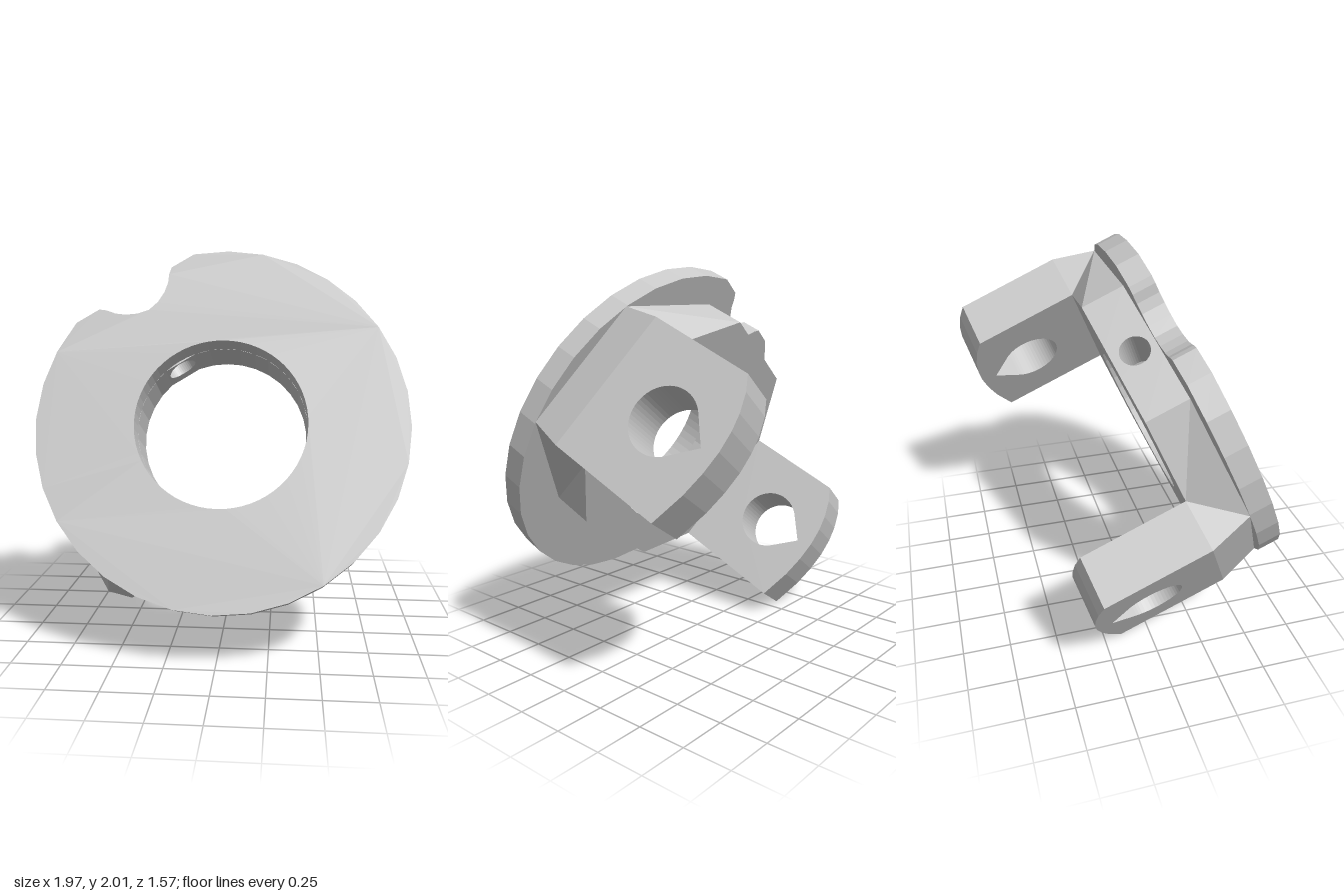
import * as THREE from 'three';

// Local frame: x = axis through both lugs, y = in the disc plane, z = out of the front face.
const BORE = 0.435, DISC_BACK = -0.12, PLATE_BACK = -0.35;
const LUG_IN = 0.665, LUG_OUT = 0.935, LUG_HALF = 0.37, SLOT = 0.09;

const shapeOf = (pts) => new THREE.Shape(pts.map(([x, y]) => new THREE.Vector2(x, y)));
const extrude = (shape, depth, curveSegments = 32) =>
  new THREE.ExtrudeGeometry(shape, { depth, curveSegments, bevelEnabled: false });

// Moves every vertex by a rule and renews the flat normals.
function moveVertices(geo, rule) {
  const p = geo.attributes.position, v = new THREE.Vector3();
  for (let i = 0; i < p.count; i++) {
    rule(v.fromBufferAttribute(p, i));
    p.setXYZ(i, v.x, v.y, v.z);
  }
  geo.computeVertexNormals();
  return geo;
}

// Round flange with a flared notch in its rim
function discGeometry() {
  const pts = [];
  for (let i = 2; i <= 30; i++) {
    const a = Math.PI / 2 + (i * Math.PI) / 16;
    pts.push([0.937 * Math.cos(a), 0.937 * Math.sin(a)]);
  }
  const half = [[0.22, 0.866], [0.19, 0.84], [0.16, 0.8], [0.118, 0.765], [0.06, 0.735]];
  pts.push(...half, [0, 0.722], ...half.map(([x, y]) => [-x, y]).reverse());
  const shape = shapeOf(pts);
  shape.holes.push(new THREE.Path().absarc(0, 0, BORE, 0, Math.PI * 2, true));
  return extrude(shape, -DISC_BACK).translate(0, 0, DISC_BACK);
}

// Eight-sided plate around the bore, left open where the pin block sits
function plateGeometry() {
  const side = [[0.35, 0.7], [LUG_IN, LUG_HALF], [LUG_OUT, LUG_HALF],
    [LUG_OUT, -LUG_HALF], [LUG_IN, -LUG_HALF], [0.35, -0.61]];
  const pts = [[-SLOT, 0.7], ...side.map(([x, y]) => [-x, y]), ...[...side].reverse(), [SLOT, 0.7]];
  const gap = Math.asin(SLOT / BORE);
  for (let i = 0; i <= 32; i++) {
    const a = Math.PI / 2 - gap - (i / 32) * (Math.PI * 2 - 2 * gap);
    pts.push([BORE * Math.cos(a), BORE * Math.sin(a)]);
  }
  const geo = extrude(shapeOf(pts), DISC_BACK - PLATE_BACK).translate(0, 0, PLATE_BACK);
  // the lug feet lean in to meet the disc rim
  return moveVertices(geo, (v) => {
    if (v.z > -0.2 && Math.abs(v.x) > 0.6) {
      v.x = Math.sign(v.x) * 0.87;
      v.y = Math.sign(v.y) * 0.35;
    }
  });
}

// Block with the radial pin hole, its inner end following the bore
function pinBlockGeometry() {
  const shape = shapeOf([[PLATE_BACK, -SLOT], [DISC_BACK, -SLOT], [DISC_BACK, SLOT], [PLATE_BACK, SLOT]]);
  shape.holes.push(new THREE.Path().absarc(-0.23, 0, 0.077, 0, Math.PI * 2, true));
  const geo = extrude(shape, 0.3, 20);
  geo.applyMatrix4(new THREE.Matrix4().makeBasis(
    new THREE.Vector3(0, 0, 1), new THREE.Vector3(1, 0, 0), new THREE.Vector3(0, 1, 0)));
  geo.translate(0, 0.4, 0);
  return moveVertices(geo, (v) => {
    if (v.y < 0.5) v.y = Math.sqrt(BORE * BORE - v.x * v.x);
  });
}

// Lug with a curved tip and a teardrop hole
function lugGeometry() {
  const shape = shapeOf([[-LUG_HALF, PLATE_BACK], [-LUG_HALF, -0.988], [-0.2, -1.025], [-0.08, -1.037],
    [0.03, -1.037], [0.13, -1.024], [0.21, -1.003], [0.3, -0.965], [LUG_HALF, -0.918], [LUG_HALF, PLATE_BACK]]);
  const hole = new THREE.Path().absarc(0, -0.725, 0.165, -Math.PI / 4, Math.PI * 1.25, false);
  hole.lineTo(0, -0.957);
  hole.closePath();
  shape.holes.push(hole);
  const geo = extrude(shape, LUG_OUT - LUG_IN, 20);
  return geo.applyMatrix4(new THREE.Matrix4().makeBasis(
    new THREE.Vector3(0, 1, 0), new THREE.Vector3(0, 0, 1), new THREE.Vector3(1, 0, 0)));
}

export function createModel() {
  const grey = new THREE.MeshStandardMaterial({ color: 0xc8c8c8 });
  grey.name = 'light grey';

  const yoke = new THREE.Group();
  yoke.name = 'yoke';
  const add = (name, geo, x = 0) => {
    const mesh = new THREE.Mesh(geo, grey);
    mesh.name = name;
    mesh.position.x = x;
    yoke.add(mesh);
  };
  add('disc', discGeometry());
  add('plate', plateGeometry());
  add('pinBlock', pinBlockGeometry());
  add('leftLug', lugGeometry(), LUG_IN);
  add('rightLug', lugGeometry(), -LUG_OUT);

  // lean back, and roll about the disc axis
  yoke.rotation.set(-0.416, 0, 0.576);
  yoke.position.set(0, 1.15, 0.415);

  const model = new THREE.Group();
  model.name = 'flangeYoke';
  model.add(yoke);
  return model;
}
